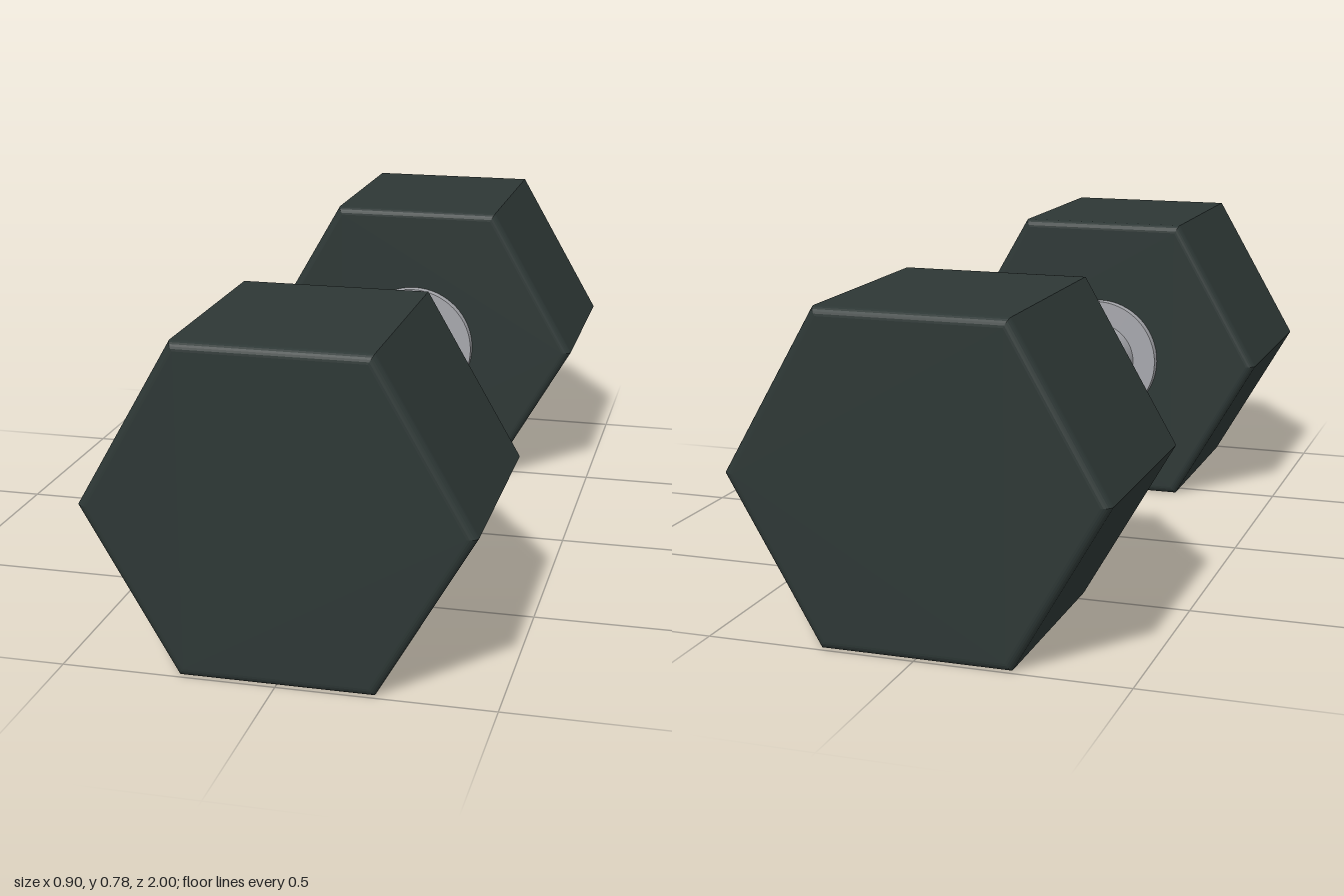
import * as THREE from 'three';

const CENTER_Y = 0.389;   // height of the bar axis
const HEX_R = 0.449;      // corner radius of the hex heads
const HEAD_IN = 0.435, HEAD_OUT = 1;
const BEVEL = 0.02;

function makeMaterial(name, color) {
  const material = new THREE.MeshStandardMaterial({ color });
  material.name = name;
  return material;
}

// Hexagonal block with rounded end edges, centred on the origin along z
function hexHeadGeometry() {
  const corners = [];
  for (let i = 0; i < 6; i++) {
    const a = i * Math.PI / 3;
    corners.push(new THREE.Vector2(HEX_R * Math.cos(a), HEX_R * Math.sin(a)));
  }
  const geometry = new THREE.ExtrudeGeometry(new THREE.Shape(corners), {
    depth: HEAD_OUT - HEAD_IN - 2 * BEVEL,
    bevelEnabled: true,
    bevelThickness: BEVEL,
    bevelSize: BEVEL,
    bevelOffset: -BEVEL,
    bevelSegments: 6,
  });
  return geometry.center();
}

export function createModel() {
  const rubber = makeMaterial('dark rubber', 0x2d3735);
  const steel = makeMaterial('brushed steel', 0xa6a7ac);
  const group = new THREE.Group();
  group.name = 'dumbbell';

  const add = (name, geometry, material, z) => {
    const mesh = new THREE.Mesh(geometry, material);
    mesh.name = name;
    mesh.position.set(0, CENTER_Y, z);
    group.add(mesh);
  };

  // Handle bar, running a little way into both heads
  add('handle', new THREE.CylinderGeometry(0.105, 0.105, 0.92, 48).rotateX(Math.PI / 2), steel, 0);

  // Heads and collars, mirrored front to back
  const head = hexHeadGeometry();
  const collar = new THREE.CylinderGeometry(0.168, 0.168, 0.05, 64).rotateX(Math.PI / 2);
  for (const [side, s] of [['front', 1], ['back', -1]]) {
    add(side + 'Head', head, rubber, s * (HEAD_IN + HEAD_OUT) / 2);
    add(side + 'Collar', collar, steel, s * 0.434);
  }
  return group;
}
